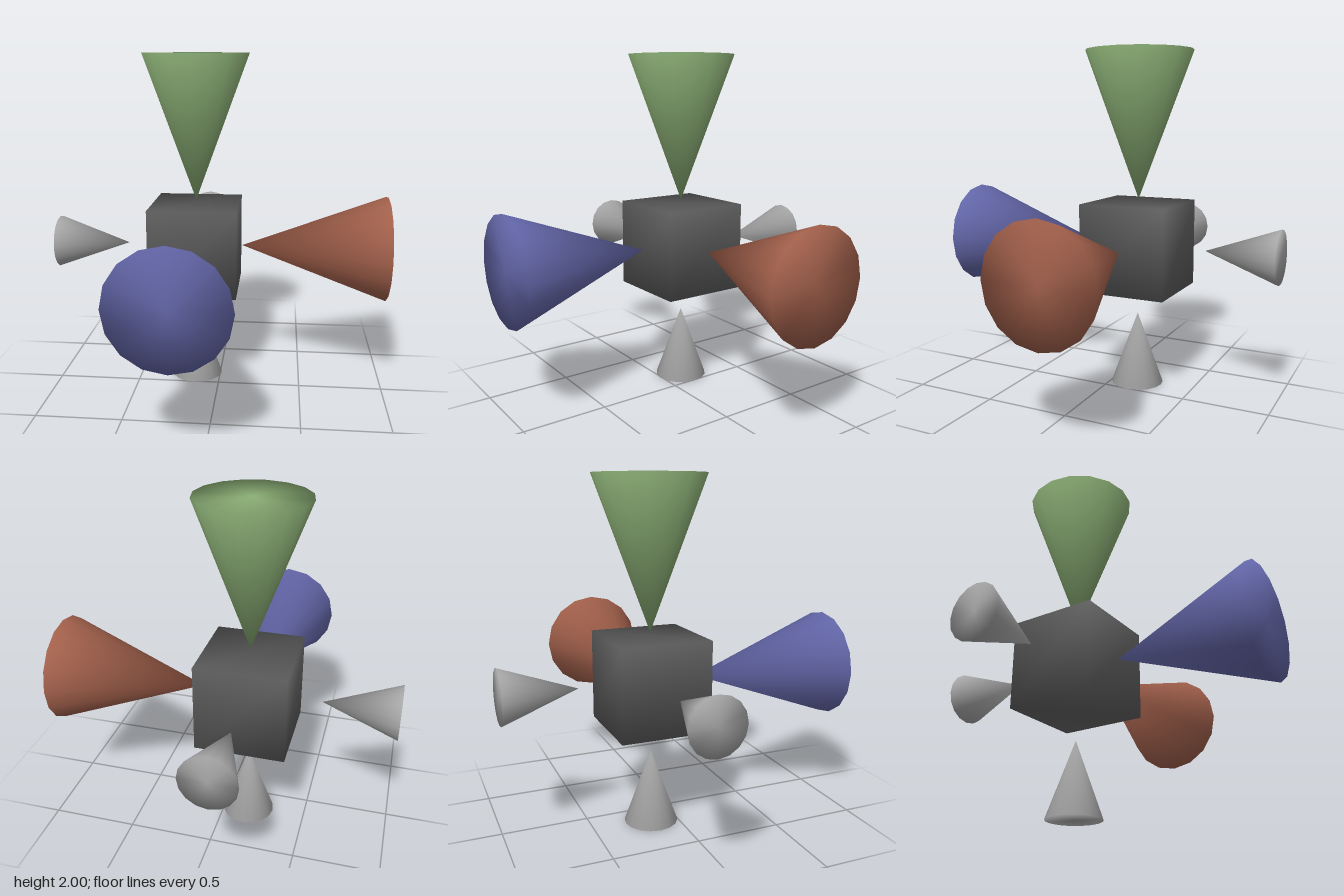
import * as THREE from 'three';
import { mergeVertices } from 'three/addons/utils/BufferGeometryUtils.js';

const material = (name, color) => {
  const m = new THREE.MeshStandardMaterial({ color });
  m.name = name;
  return m;
};

// Shares every corner so that shading runs smoothly over all edges
function smooth(geometry) {
  geometry.deleteAttribute('uv');
  geometry.deleteAttribute('normal');
  const merged = mergeVertices(geometry, 1e-4);
  merged.computeVertexNormals();
  return merged;
}

export function createModel() {
  const group = new THREE.Group();
  group.name = 'axisGizmo';
  const center = new THREE.Vector3(-0.148, 0.857, -0.148);
  const up = new THREE.Vector3(0, 1, 0);

  const darkGrey = material('darkGrey', 0x5c5c5c);
  const lightGrey = material('lightGrey', 0xa6a6a6);
  const red = material('red', 0xa2604b);
  const green = material('green', 0x8cb076);
  const blue = material('blue', 0x6366a8);

  // Central cube
  const cube = new THREE.Mesh(smooth(new THREE.BoxGeometry(0.523, 0.523, 0.523)), darkGrey);
  cube.name = 'centerCube';
  cube.position.copy(center);
  group.add(cube);

  // Cones point inwards; the base of each lies at a fixed distance from the centre
  const sizes = {
    large: { radius: 0.316, length: 0.866, reach: 1.147 },
    small: { radius: 0.157, length: 0.434, reach: 0.855 },
  };
  for (const size of Object.values(sizes)) {
    size.geometry = smooth(new THREE.ConeGeometry(size.radius, size.length, 16));
  }

  const cones = [
    ['positiveXCone', [1, 0, 0], sizes.large, red],
    ['positiveYCone', [0, 1, 0], sizes.large, green],
    ['positiveZCone', [0, 0, 1], sizes.large, blue],
    ['negativeXCone', [-1, 0, 0], sizes.small, lightGrey],
    ['negativeYCone', [0, -1, 0], sizes.small, lightGrey],
    ['negativeZCone', [0, 0, -1], sizes.small, lightGrey],
  ];
  for (const [name, axis, size, mat] of cones) {
    const dir = new THREE.Vector3(...axis);
    const cone = new THREE.Mesh(size.geometry, mat);
    cone.name = name;
    cone.quaternion.setFromUnitVectors(up, dir.clone().negate());
    cone.position.copy(center).addScaledVector(dir, size.reach - size.length / 2);
    group.add(cone);
  }
  return group;
}
